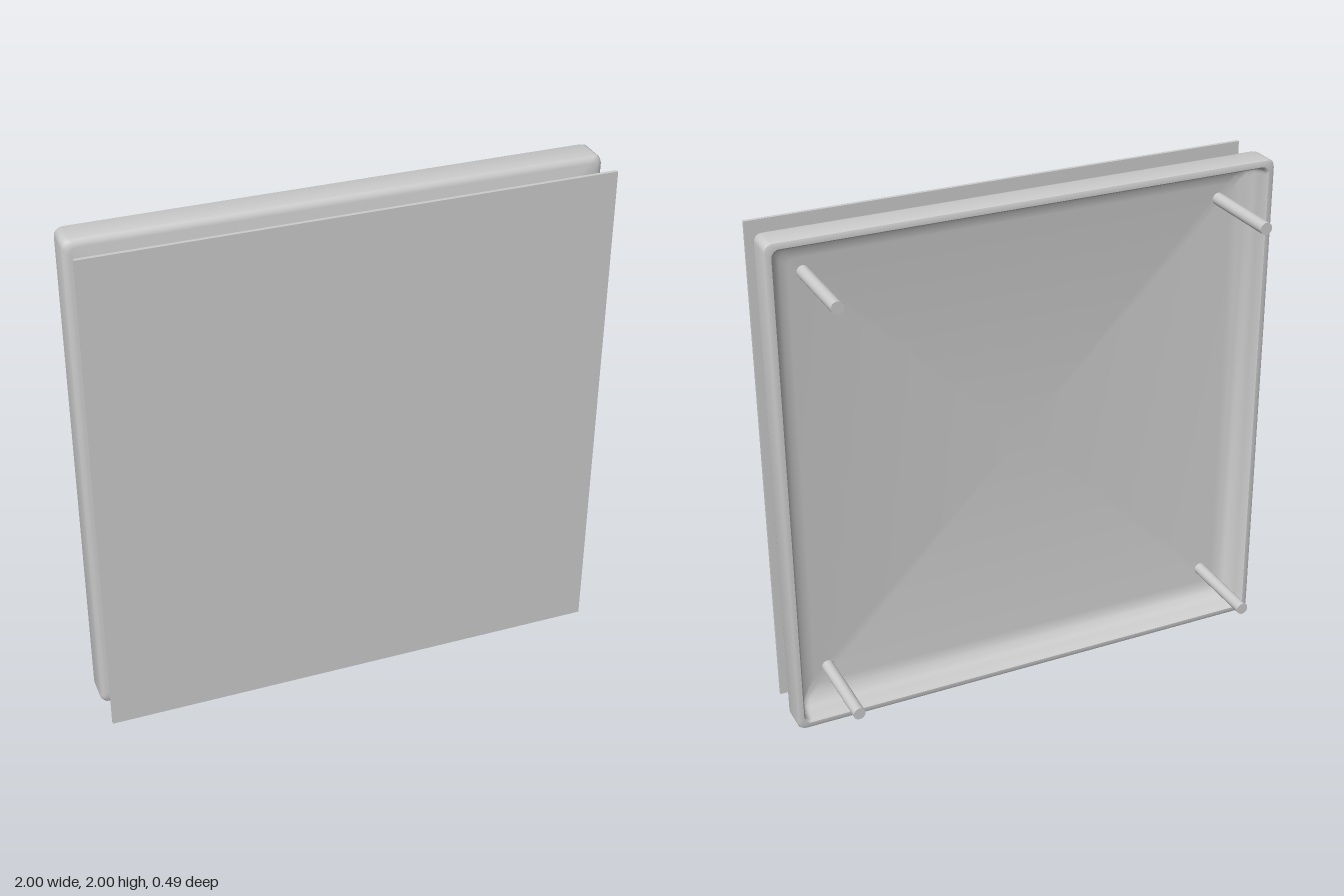
import * as THREE from 'three';
import { toCreasedNormals } from 'three/addons/utils/BufferGeometryUtils.js';

const material = new THREE.MeshStandardMaterial({ color: 0xcccccc });

// Rounded square outline, counter-clockwise seen from the front
function squareLoop(half, radius, steps = 5) {
  const points = [];
  const c = half - radius;
  for (let k = 0; k < 4; k++) {
    const sx = k === 0 || k === 3 ? 1 : -1;
    const sy = k < 2 ? 1 : -1;
    for (let s = 0; s <= steps; s++) {
      const a = (k + s / steps) * Math.PI / 2;
      points.push([sx * c + radius * Math.cos(a), sy * c + radius * Math.sin(a)]);
    }
  }
  return points;
}

// Sweeps a [half size, z] profile around the square
function squareSweep(profile, radius) {
  const loops = profile.map(([h, z]) =>
    squareLoop(h, Math.min(radius, h)).map(([x, y]) => [x, y, z]));
  const out = [];
  const n = loops[0].length;
  for (let i = 0; i < loops.length - 1; i++) {
    for (let j = 0; j < n; j++) {
      const k = (j + 1) % n;
      const a = loops[i][j], b = loops[i][k], c = loops[i + 1][j], d = loops[i + 1][k];
      if (profile[i + 1][0] > 0) out.push(...a, ...c, ...d);
      if (profile[i][0] > 0) out.push(...a, ...d, ...b);
    }
  }
  const geometry = new THREE.BufferGeometry();
  geometry.setAttribute('position', new THREE.Float32BufferAttribute(out, 3));
  return toCreasedNormals(geometry, Math.PI / 5);
}

export function createModel() {
  const group = new THREE.Group();
  const add = (name, geometry, x, y, z) => {
    const mesh = new THREE.Mesh(geometry, material);
    mesh.name = name;
    mesh.position.set(x, y, z);
    group.add(mesh);
    return mesh;
  };

  // Flat cover panel held in front of the tray
  add('frontPanel', new THREE.BoxGeometry(1.98, 1.985, 0.014), 0, 1.0025, 0.238);

  // Shallow tray: closed face in front, rounded rim, coved inside, open at the back
  const profile = [
    [0, 0.115], [0.975, 0.115], [0.988, 0.111], [0.997, 0.102], [1, 0.09],
    [1, -0.004], [0.997, -0.012], [0.988, -0.016], [0.975, -0.016], [0.969, -0.008],
    [0.965, 0.03], [0.957, 0.06], [0.94, 0.083], [0.915, 0.097], [0.885, 0.102], [0, 0.102],
  ];
  add('tray', squareSweep(profile, 0.03), 0, 1, 0);

  // Four stand-off rods through the tray corners
  const rod = new THREE.CylinderGeometry(0.024, 0.024, 0.478, 24).rotateX(Math.PI / 2);
  for (const x of [-0.83, 0.83]) {
    for (const y of [0.18, 1.83]) add('standoffRod', rod, x, y, -0.006);
  }
  return group;
}
